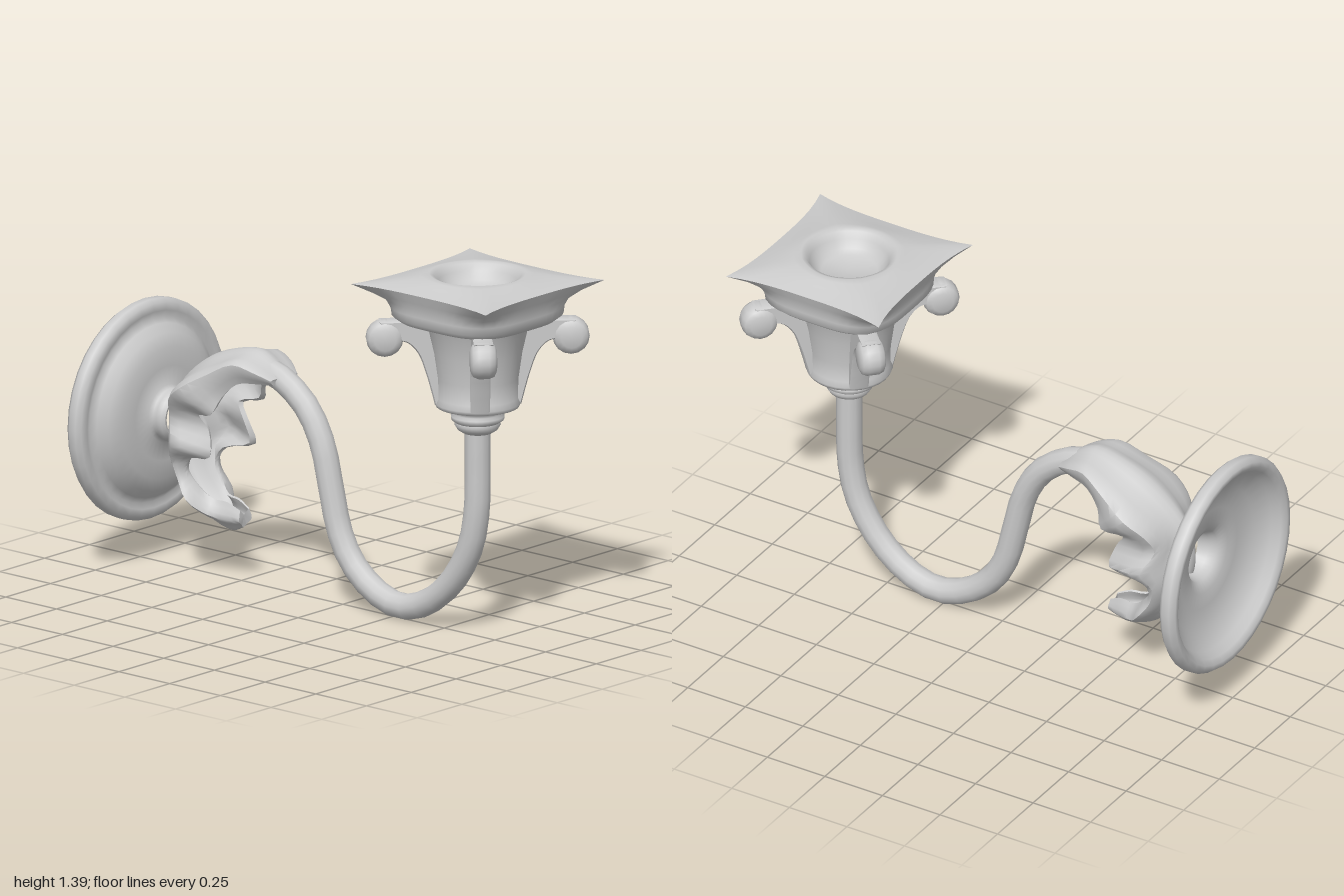
import * as THREE from 'three';
import { toCreasedNormals } from 'three/addons/utils/BufferGeometryUtils.js';

const material = new THREE.MeshStandardMaterial({ color: 0xcccccc, side: THREE.DoubleSide });
const CUP_Z = 0.665;
const PLATE_Y = 0.58;

function add(parent, name, geometry) {
  const mesh = new THREE.Mesh(geometry, material);
  mesh.name = name;
  parent.add(mesh);
  return mesh;
}

function lathe(profile, sides) {
  const points = profile.map(([r, y]) => new THREE.Vector2(r, y));
  return toCreasedNormals(new THREE.LatheGeometry(points, sides), 1.1);
}

// Skin a list of closed rings of Vector3, all with the same point count
function loft(rings, crease) {
  const n = rings[0].length;
  const positions = rings.flat().flatMap((p) => [p.x, p.y, p.z]);
  const index = [];
  for (let i = 0; i < rings.length - 1; i++) {
    for (let j = 0; j < n; j++) {
      const a = i * n + j, b = i * n + ((j + 1) % n);
      index.push(a, b, b + n, a, b + n, a + n);
    }
  }
  const geometry = new THREE.BufferGeometry();
  geometry.setAttribute('position', new THREE.Float32BufferAttribute(positions, 3));
  geometry.setIndex(index);
  return toCreasedNormals(geometry, crease);
}

// Four-sided ring with half-widths at corner and middle; a higher power keeps the sides flatter
function squareRing([y, corner, middle, power = 2]) {
  const ring = [];
  const steps = 12;
  for (let k = 0; k < 4; k++) {
    for (let s = 0; s < steps; s++) {
      const t = (2 * s) / steps - 1;
      const p = new THREE.Vector3(t * corner, y, middle + (corner - middle) * Math.abs(t) ** power);
      ring.push(p.applyAxisAngle(new THREE.Vector3(0, 1, 0), (k * Math.PI) / 2));
    }
  }
  return ring;
}

function leafGeometry() {
  // Per station: spine z,y | flank x,z,y | edge x,z,y
  const stations = [
    [-0.28, 0.83, 0.075, -0.29, 0.82, 0.06, -0.29, 0.8],
    [-0.34, 0.88, 0.11, -0.35, 0.85, 0.085, -0.36, 0.8],
    [-0.41, 0.91, 0.135, -0.43, 0.87, 0.105, -0.43, 0.79],
    [-0.53, 0.89, 0.163, -0.53, 0.82, 0.125, -0.49, 0.73],
    [-0.64, 0.845, 0.19, -0.64, 0.755, 0.15, -0.52, 0.665],
    [-0.74, 0.77, 0.16, -0.72, 0.69, 0.125, -0.6, 0.645],
    [-0.805, 0.69, 0.13, -0.74, 0.62, 0.11, -0.565, 0.592],
    [-0.835, 0.58, 0.17, -0.7, 0.535, 0.13, -0.543, 0.495],
    [-0.825, 0.48, 0.135, -0.73, 0.46, 0.1, -0.66, 0.465],
    [-0.78, 0.37, 0.12, -0.71, 0.38, 0.085, -0.69, 0.41],
    [-0.7, 0.26, 0.13, -0.66, 0.31, 0.065, -0.65, 0.35],
    [-0.62, 0.21, 0.08, -0.6, 0.255, 0.045, -0.6, 0.31],
    [-0.54, 0.19, 0.05, -0.53, 0.24, 0.035, -0.54, 0.305],
    [-0.49, 0.21, 0.035, -0.48, 0.24, 0.025, -0.485, 0.28],
  ];
  const curve = (pick) => new THREE.CatmullRomCurve3(stations.map(pick));
  const spine = curve((s) => new THREE.Vector3(0, s[1], s[0]));
  const flank = curve((s) => new THREE.Vector3(s[2], s[4], s[3]));
  const edge = curve((s) => new THREE.Vector3(s[5], s[7], s[6]));
  const mirror = (p) => new THREE.Vector3(-p.x, p.y, p.z);
  const steps = 3 * (stations.length - 1);
  const rings = [];
  let first, last;
  for (let i = 0; i <= steps; i++) {
    const t = i / steps;
    const top = spine.getPoint(t), side = flank.getPoint(t), rim = edge.getPoint(t);
    // A shallow groove beside the spine leaves a raised midrib
    const groove = top.clone().lerp(side, 0.4);
    const outer = new THREE.CatmullRomCurve3(
      [mirror(rim), mirror(side), mirror(groove), top, groove, side, rim]).getPoints(18);
    const centre = new THREE.Vector3(0, rim.y, rim.z).lerp(top, 0.3);
    const inner = outer.map((p) => p.clone().lerp(centre, 0.16)).reverse();
    rings.push([...outer, ...inner]);
    first = first || centre;
    last = centre;
  }
  // Close both ends
  rings.unshift(rings[0].map(() => first.clone()));
  rings.push(rings[0].map(() => last.clone()));
  return loft(rings, 0.9);
}

function addScroll(parent, angle) {
  const scroll = new THREE.Group();
  scroll.name = 'cornerScroll';
  // Strap climbing the bell and curling outward
  const shape = new THREE.Shape();
  shape.moveTo(0.12, 0.905);
  shape.lineTo(0.156, 0.905);
  shape.splineThru([[0.17, 0.96], [0.19, 1.03], [0.217, 1.1], [0.26, 1.145], [0.32, 1.155]].map((p) => new THREE.Vector2(...p)));
  shape.lineTo(0.36, 1.218);
  shape.lineTo(0.16, 1.222);
  const strap = new THREE.ExtrudeGeometry(shape, {
    depth: 0.056, bevelEnabled: true, bevelSize: 0.005, bevelThickness: 0.008, bevelSegments: 1, curveSegments: 12,
  });
  strap.translate(0, 0, -0.028);
  add(scroll, 'scrollStrap', toCreasedNormals(strap, 0.6));
  // Rounded barrel at the end of the strap
  const barrel = lathe([[0, -0.05], [0.04, -0.049], [0.06, -0.04], [0.069, -0.02], [0.069, 0.02], [0.06, 0.04], [0.04, 0.049], [0, 0.05]], 16);
  barrel.rotateX(Math.PI / 2);
  add(scroll, 'scrollBarrel', barrel).position.set(0.345, 1.155, 0);
  scroll.rotation.y = angle;
  parent.add(scroll);
}

export function createModel() {
  const model = new THREE.Group();
  model.name = 'wallCandleSconce';

  // Hollow round wall plate with pierced neck
  const plate = lathe([
    [0.078, -0.8], [0.088, -0.84], [0.1, -0.87], [0.14, -0.892], [0.2, -0.895], [0.28, -0.915], [0.345, -0.955],
    [0.365, -0.985], [0.385, -1], [0.405, -1], [0.42, -0.98], [0.42, -0.95], [0.405, -0.933], [0.375, -0.93],
    [0.352, -0.94], [0.33, -0.922], [0.3, -0.892], [0.25, -0.87], [0.18, -0.866], [0.11, -0.862], [0.098, -0.85],
    [0.103, -0.83], [0.1, -0.81], [0.088, -0.797], [0.078, -0.8],
  ], 36);
  plate.rotateX(Math.PI / 2);
  add(model, 'wallPlate', plate).position.y = PLATE_Y;

  // S-curved arm
  const path = [
    [0.82, 0.665], [0.65, 0.665], [0.48, 0.66], [0.33, 0.625], [0.18, 0.53], [0.08, 0.4], [0.05, 0.28], [0.085, 0.16],
    [0.17, 0.05], [0.28, -0.015], [0.45, -0.06], [0.6, -0.1], [0.72, -0.17], [0.8, -0.27], [0.835, -0.36], [0.84, -0.44],
  ].map(([y, z]) => new THREE.Vector3(0, y, z));
  add(model, 'arm', new THREE.TubeGeometry(new THREE.CatmullRomCurve3(path), 30, 0.049, 12));

  add(model, 'acanthusLeaf', leafGeometry());

  // Candle cup: collar and bell, corner scrolls, square drip pan
  const cup = new THREE.Group();
  cup.name = 'candleCup';
  cup.position.z = CUP_Z;
  model.add(cup);
  add(cup, 'bell', lathe([
    [0, 0.787], [0.055, 0.787], [0.075, 0.8], [0.086, 0.818], [0.084, 0.828], [0.098, 0.838], [0.1, 0.852], [0.091, 0.862],
    [0.096, 0.876], [0.13, 0.886], [0.155, 0.89], [0.162, 0.905], [0.152, 0.925], [0.154, 1], [0.168, 1.1], [0.186, 1.18], [0.205, 1.225],
  ], 28));
  for (let k = 0; k < 4; k++) addScroll(cup, Math.PI / 4 + (k * Math.PI) / 2);
  add(cup, 'dripPan', loft([
    [1.22, 0, 0, 4], [1.22, 0.205, 0.25, 4], [1.24, 0.225, 0.272, 4], [1.27, 0.228, 0.272, 4], [1.3, 0.24, 0.276, 4],
    [1.325, 0.272, 0.285, 3], [1.362, 0.332, 0.298, 3], [1.368, 0.285, 0.275], [1.38, 0.21, 0.235], [1.392, 0.15, 0.2],
    [1.396, 0.127, 0.18], [1.39, 0.115, 0.163], [1.365, 0.105, 0.149], [1.335, 0.09, 0.128], [1.32, 0.075, 0.106], [1.32, 0, 0],
  ].map(squareRing), 1.1));

  return model;
}
